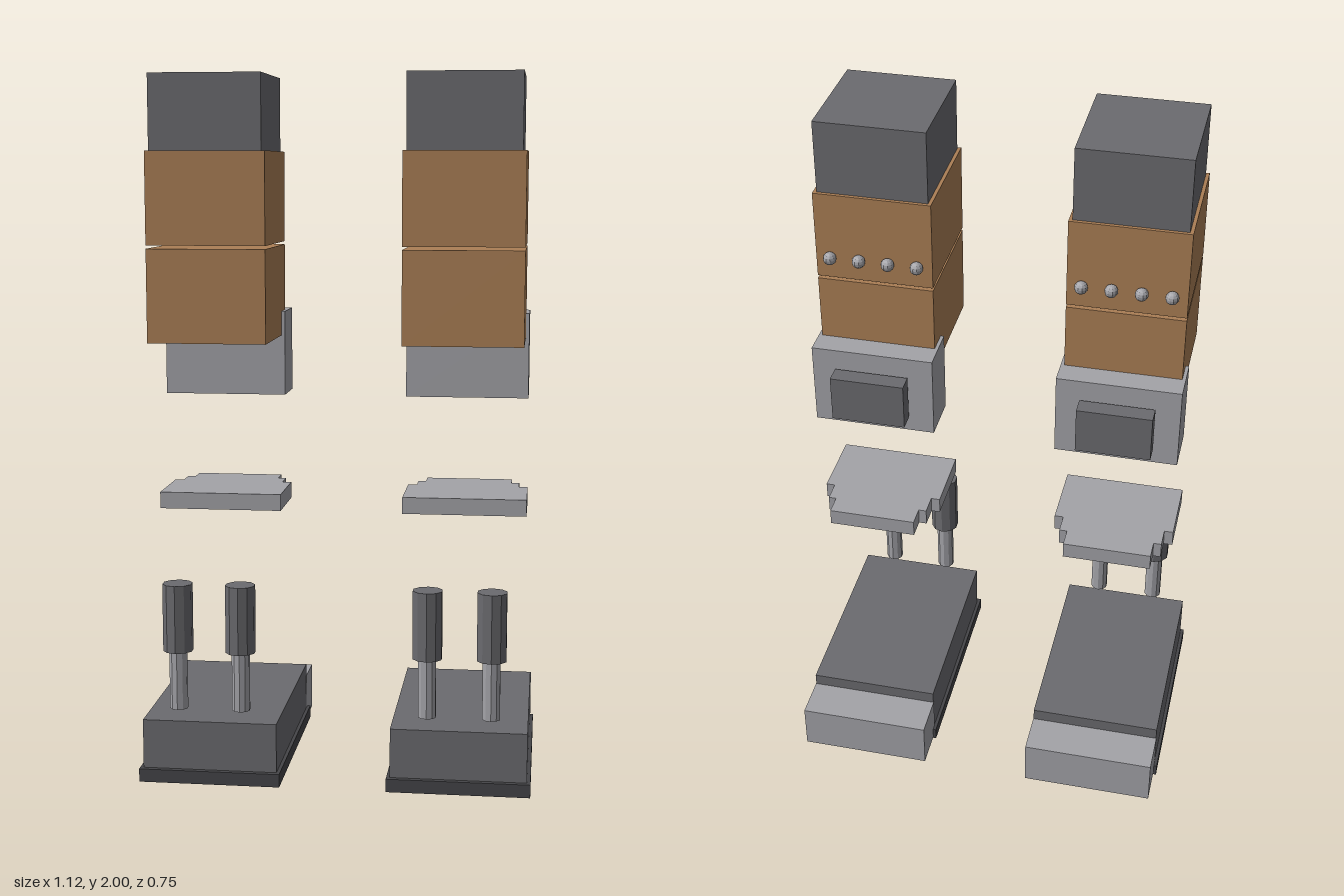
import * as THREE from 'three';

const mat = (color) => new THREE.MeshStandardMaterial({ color, flatShading: true });

export function createModel() {
  const model = new THREE.Group();
  const dark = mat(0x6b6b6f), black = mat(0x454548), grey = mat(0xa3a3a8), copper = mat(0xab7f55);

  const add = (parent, name, geometry, material, x, y, z) => {
    const mesh = new THREE.Mesh(geometry, material);
    mesh.name = name;
    mesh.position.set(x, y, z);
    parent.add(mesh);
    return mesh;
  };

  // box given by its width and its y and z ranges, centred on the stack
  const slab = (parent, name, material, w, y0, y1, z0, z1) =>
    add(parent, name, new THREE.BoxGeometry(w, y1 - y0, z1 - z0), material, 0, (y0 + y1) / 2, (z0 + z1) / 2);

  // stepped plate: half outline mirrored across x, z runs towards the back
  const half = [[0.178, 0.152], [0.178, -0.054], [0.152, -0.054], [0.152, -0.116], [0.129, -0.116], [0.129, -0.176]];
  const outline = [...half, ...half.map(([x, z]) => [-x, z]).reverse()];
  const plateShape = new THREE.Shape(outline.map(([x, z]) => new THREE.Vector2(x, -z)));
  const plateGeometry = new THREE.ExtrudeGeometry(plateShape, { depth: 0.048, bevelEnabled: false });
  plateGeometry.rotateX(-Math.PI / 2);

  for (const side of [1, -1]) {
    const stack = new THREE.Group();
    stack.name = side > 0 ? 'leftStack' : 'rightStack';
    stack.position.x = side * 0.355;
    model.add(stack);

    // base with flange and rear block
    slab(stack, 'baseFlange', black, 0.406, 0, 0.038, -0.27, 0.365);
    slab(stack, 'baseBlock', dark, 0.386, 0.038, 0.18, -0.253, 0.35);
    slab(stack, 'rearBlock', grey, 0.388, 0.004, 0.143, -0.376, -0.25);

    // pins floating above the front edge
    for (const x of [-0.09, 0.09]) {
      add(stack, 'pinHead', new THREE.CylinderGeometry(0.043, 0.043, 0.195, 10), dark, x, 0.482, 0.333);
      add(stack, 'pinShaft', new THREE.CylinderGeometry(0.026, 0.026, 0.17, 10), grey, x, 0.3, 0.333);
    }

    add(stack, 'steppedPlate', plateGeometry, grey, 0, 0.758, 0);

    // rear housing with its cover and contact strips
    slab(stack, 'housing', grey, 0.354, 1.085, 1.33, -0.093, 0.048);
    slab(stack, 'housingCover', dark, 0.214, 1.138, 1.275, -0.156, -0.105);
    for (let i = 0; i < 4; i++) {
      const y = 1.16 + i * 0.03;
      slab(stack, 'contactStrip', copper, 0.2, y, y + 0.012, -0.106, -0.092);
    }

    // tower: two copper blocks and a cap
    slab(stack, 'lowerBlock', copper, 0.334, 1.26, 1.522, -0.022, 0.328);
    slab(stack, 'upperBlock', copper, 0.334, 1.531, 1.79, -0.022, 0.328);
    slab(stack, 'cap', dark, 0.314, 1.79, 2, -0.012, 0.321);

    // row of studs on the back
    for (let i = 0; i < 4; i++)
      add(stack, 'stud', new THREE.SphereGeometry(0.019, 10, 8), grey, (i - 1.5) * 0.083, 1.597, -0.034);
  }
  return model;
}
